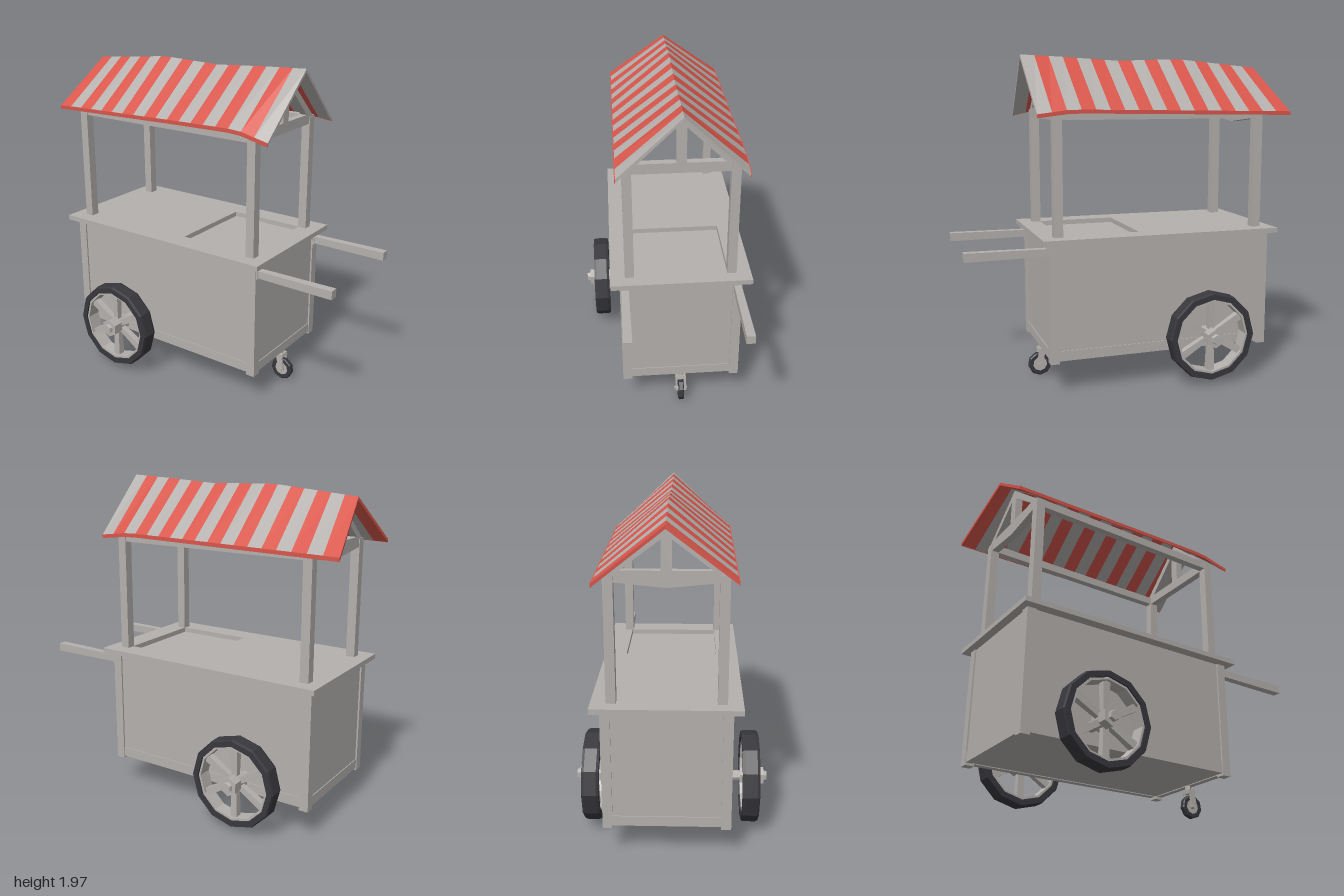
import * as THREE from 'three';

const material = (name, color) => {
  const m = new THREE.MeshStandardMaterial({ color });
  m.name = name;
  m.flatShading = true;
  return m;
};

// Solid with eight corners: four on top (counter-clockwise from above), four below
function pushSolid(out, top, bottom) {
  const p = [...top, ...bottom];
  const faces = [[0, 1, 2, 3], [7, 6, 5, 4]];
  for (let i = 0; i < 4; i++) {
    const j = (i + 1) % 4;
    faces.push([i, i + 4, j + 4, j]);
  }
  for (const [a, b, c, d] of faces) for (const k of [a, b, c, a, c, d]) out.push(...p[k]);
}

function solidGeometry(positions) {
  const g = new THREE.BufferGeometry();
  g.setAttribute('position', new THREE.Float32BufferAttribute(positions, 3));
  g.computeVertexNormals();
  return g;
}

// Piecewise linear height along a list of [x, y] points
function heightAt(points, x) {
  for (let i = 1; i < points.length; i++) {
    const [x0, y0] = points[i - 1], [x1, y1] = points[i];
    if (x <= x1 || i === points.length - 1) return y0 + (y1 - y0) * (x - x0) / (x1 - x0);
  }
}

export function createModel() {
  const model = new THREE.Group();
  model.name = 'marketCart';
  const grey = material('paleGrey', 0xb4b0ad);
  const red = material('awningRed', 0xd8564b);
  const dark = material('tyreDark', 0x38383d);
  const Z0 = -0.015;

  const add = (parent, name, geometry, mat, x = 0, y = 0, z = 0) => {
    const mesh = new THREE.Mesh(geometry, mat);
    mesh.name = name;
    mesh.position.set(x, y, z);
    parent.add(mesh);
    return mesh;
  };
  // Box from its extents
  const box = (name, x0, x1, y0, y1, z0, z1) => add(model, name,
    new THREE.BoxGeometry(x1 - x0, y1 - y0, z1 - z0), grey,
    (x0 + x1) / 2, (y0 + y1) / 2, (z0 + z1) / 2);

  // Cabinet with corner posts and bottom rails
  box('cabinet', -0.86, 0.51, 0.205, 0.9, Z0 - 0.35, Z0 + 0.35);
  for (const s of [-1, 1]) {
    const z = Z0 + s * 0.332;
    for (const x of [-0.842, 0.492]) box('cornerPost', x - 0.028, x + 0.028, 0.185, 0.9, z - 0.028, z + 0.028);
    box('sideRail', -0.82, 0.47, 0.2, 0.26, Z0 + s * 0.335 - 0.02, Z0 + s * 0.335 + 0.02);
    const x = s < 0 ? -0.845 : 0.495;
    box('endRail', x - 0.02, x + 0.02, 0.2, 0.26, Z0 - 0.31, Z0 + 0.31);
  }

  // Counter top with a sunken square tray
  const top = new THREE.Shape();
  top.moveTo(-0.91, -0.413).lineTo(0.562, -0.413).lineTo(0.562, 0.413).lineTo(-0.91, 0.413).closePath();
  const tray = new THREE.Path();
  tray.moveTo(-0.05, -0.28).lineTo(-0.05, 0.28).lineTo(0.43, 0.28).lineTo(0.43, -0.28).closePath();
  top.holes.push(tray);
  const topGeometry = new THREE.ExtrudeGeometry(top, { depth: 0.03, bevelEnabled: false }).rotateX(-Math.PI / 2);
  add(model, 'counterTop', topGeometry, grey, 0, 0.9, Z0);

  // Push handles, slightly thicker at the free end
  for (const s of [-1, 1]) {
    const g = new THREE.CylinderGeometry(0.036, 0.031, 0.49, 4, 1).rotateY(Math.PI / 4).rotateZ(-Math.PI / 2);
    add(model, 'handle', g, grey, 0.755, 0.852, Z0 + s * 0.33);
    const z = Z0 + s * 0.33;
    box('handleBracket', 0.5, 0.53, 0.82, 0.9, z - 0.024, z + 0.024);
  }

  // Roof posts and long beams
  for (const s of [-1, 1]) {
    const z = Z0 + s * 0.3;
    for (const x of [-0.805, 0.455]) box('roofPost', x - 0.027, x + 0.027, 0.93, 1.64, z - 0.027, z + 0.027);
    box('longBeam', -0.83, 0.48, 1.6, 1.65, z - 0.022, z + 0.022);
  }

  // Gable frames with king post and two open triangles
  function gable(x, apex, sag) {
    const shape = new THREE.Shape();
    shape.moveTo(-0.3, 1.6).lineTo(0, 1.6 - sag).lineTo(0.3, 1.6).lineTo(0.315, 1.645)
      .lineTo(0, apex).lineTo(-0.315, 1.645).closePath();
    for (const s of [-1, 1]) {
      const hole = new THREE.Path();
      hole.moveTo(s * 0.028, 1.66).lineTo(s * 0.028, apex - 0.075).lineTo(s * 0.24, 1.66).closePath();
      shape.holes.push(hole);
    }
    const g = new THREE.ExtrudeGeometry(shape, { depth: 0.045, bevelEnabled: false })
      .translate(0, 0, -0.0225).rotateY(Math.PI / 2);
    add(model, 'gableFrame', g, grey, x, 0, Z0);
  }
  gable(-0.805, 1.895, 0.03);
  gable(0.455, 1.94, 0);

  // Striped awning: each line is a height profile with its end positions and depth
  const ridge = { x0: -0.93, x1: 0.597, z: Z0, y: [[-0.93, 1.912], [-0.4, 1.96], [0, 1.945], [0.35, 1.965], [0.6, 1.975]] };
  const frontEave = { x0: -0.967, x1: 0.58, z: 0.345, y: [[-0.97, 1.647], [0, 1.668], [0.38, 1.673], [0.58, 1.628]] };
  const backEave = { x0: -1.0, x1: 0.578, z: -0.375, y: [[-1, 1.64], [0, 1.655], [0.38, 1.66], [0.58, 1.635]] };
  const STRIPES = 18;
  const at = (line, i) => {
    // Even spacing with the uneven left end eased out over the first stripes
    const t = i / STRIPES;
    const x = -0.96 + t * (line.x1 + 0.96) + (line.x0 + 0.96) * Math.pow(1 - t, 4);
    return [x, heightAt(line.y, x), line.z];
  };
  const lower = (p, d = 0.02) => [p[0], p[1] - d, p[2]];
  const cloth = [[], []], trim = [];
  for (let i = 0; i < STRIPES; i++) {
    const out = cloth[i % 2];
    const [f0, f1, r0, r1, b0, b1] = [at(frontEave, i), at(frontEave, i + 1), at(ridge, i),
      at(ridge, i + 1), at(backEave, i), at(backEave, i + 1)];
    for (const quad of [[f0, f1, r1, r0], [r0, r1, b1, b0]]) pushSolid(out, quad, quad.map((p) => lower(p)));
    // Thin coloured hem on both eaves
    const shift = (p, dz) => [p[0], p[1], p[2] + dz];
    for (const quad of [[shift(f0, 0.005), shift(f1, 0.005), f1, f0], [b0, b1, shift(b1, -0.005), shift(b0, -0.005)]]) {
      pushSolid(trim, quad, quad.map((p) => lower(p, 0.022)));
    }
  }
  add(model, 'redAwningStripes', solidGeometry(cloth[0]), red);
  add(model, 'paleAwningStripes', solidGeometry(cloth[1]), grey);
  add(model, 'awningHem', solidGeometry(trim), red);

  // Ring with a rectangular section, axis along z
  const ring = (inner, outer, half, sides) => new THREE.LatheGeometry(
    [[inner, -half], [outer - 0.006, -half], [outer, -half * 0.7], [outer, half * 0.7],
      [outer - 0.006, half], [inner, half], [inner, -half]].map(([x, y]) => new THREE.Vector2(x, y)), sides)
    .rotateX(Math.PI / 2);
  const drum = (r0, r1, length, sides) => new THREE.CylinderGeometry(r1, r0, length, sides).rotateX(Math.PI / 2);

  // Large spoked wheels
  for (const s of [-1, 1]) {
    const wheel = new THREE.Group();
    wheel.name = 'wheel';
    wheel.position.set(-0.45, 0.3, s * 0.465);
    if (s < 0) wheel.rotation.y = Math.PI;
    add(wheel, 'tyre', ring(0.232, 0.272, 0.05, 12), dark);
    add(wheel, 'rim', ring(0.217, 0.236, 0.042, 12), grey);
    add(wheel, 'hub', drum(0.05, 0.058, 0.14, 6), grey, 0, 0, 0.015);
    add(wheel, 'hubCap', drum(0.034, 0.028, 0.025, 6), grey, 0, 0, 0.093);
    add(wheel, 'axle', drum(0.03, 0.03, 0.12, 8), grey, 0, 0, -0.09);
    for (let i = 0; i < 6; i++) {
      const spoke = new THREE.CylinderGeometry(0.032, 0.024, 0.19, 4).rotateY(Math.PI / 4).translate(0, 0.13, 0);
      add(wheel, 'spoke', spoke, grey).rotation.z = i * Math.PI / 3;
    }
    model.add(wheel);
  }

  // Small caster under the handle end
  const caster = new THREE.Group();
  caster.name = 'caster';
  caster.position.set(0.507, 0.075, Z0);
  add(caster, 'casterTyre', ring(0.045, 0.073, 0.017, 9), dark);
  add(caster, 'casterHub', drum(0.047, 0.047, 0.026, 9), grey);
  add(caster, 'casterPin', drum(0.016, 0.016, 0.076, 6), grey);
  for (const s of [-1, 1]) {
    add(caster, 'forkArm', new THREE.BoxGeometry(0.038, 0.1, 0.012), grey, -0.004, 0.045, s * 0.026).rotation.z = 0.15;
  }
  add(caster, 'forkBridge', new THREE.BoxGeometry(0.05, 0.022, 0.064), grey, -0.012, 0.09, 0).rotation.z = 0.15;
  add(caster, 'casterStem', new THREE.CylinderGeometry(0.018, 0.018, 0.05, 6), grey, -0.017, 0.115, 0);
  model.add(caster);

  return model;
}
